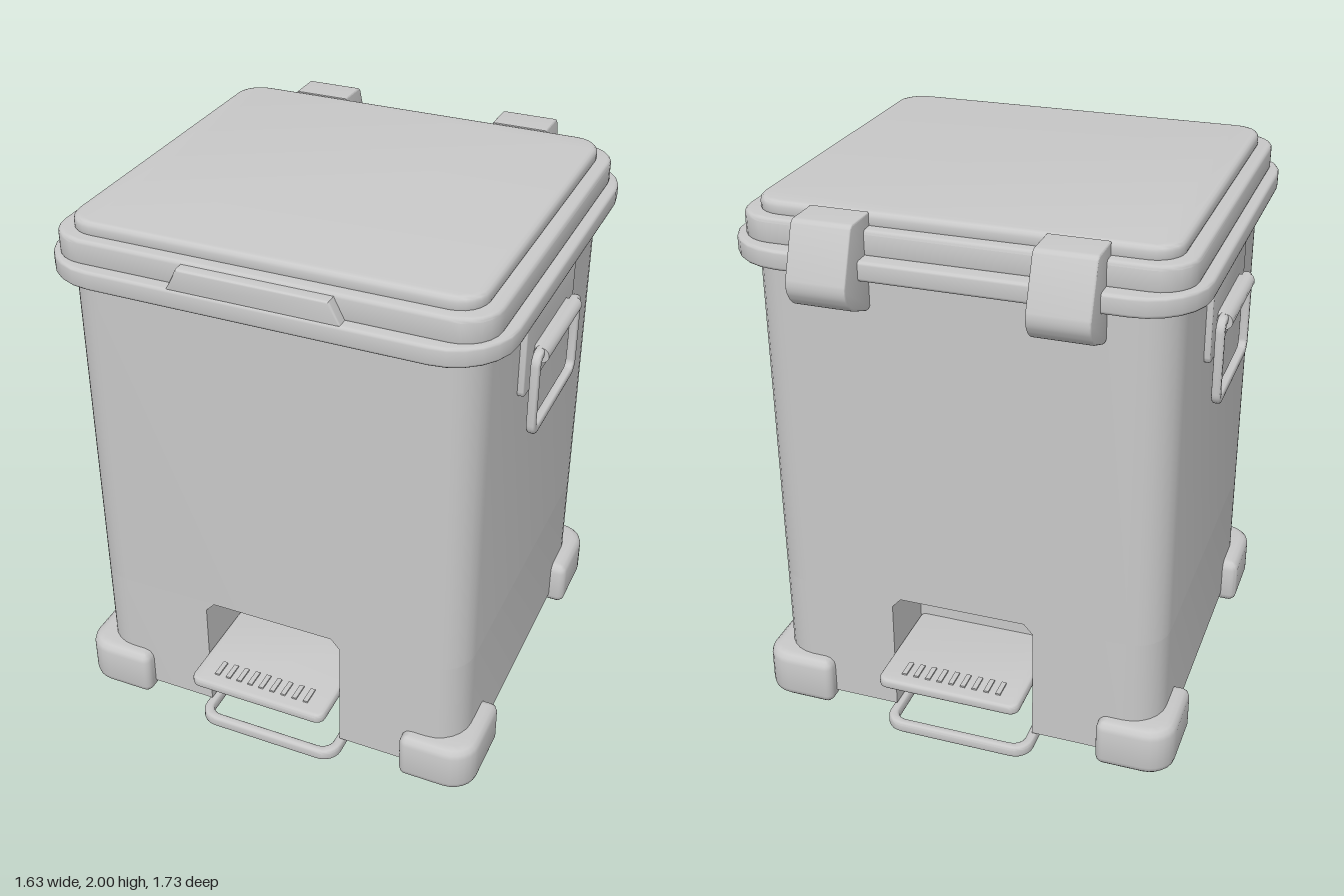
import * as THREE from 'three';
import { toCreasedNormals } from 'three/addons/utils/BufferGeometryUtils.js';

const grey = new THREE.MeshStandardMaterial({ color: 0xc8c8c8 });
grey.name = 'light grey';

// Closed polygon from [x, y, cornerRadius] points
function poly(pts, Type = THREE.Shape) {
  const shape = new Type();
  const n = pts.length;
  pts.forEach(([x, y, r = 0], i) => {
    const toward = ([px, py]) => {
      const d = Math.hypot(px - x, py - y);
      return [x + (px - x) * r / d, y + (py - y) * r / d];
    };
    const a = toward(pts[(i + n - 1) % n]);
    const b = toward(pts[(i + 1) % n]);
    if (i === 0) shape.moveTo(...a); else shape.lineTo(...a);
    if (r > 0) {
      // bezier handles that approximate a circular corner
      const k = 0.55, mix = (p) => [p[0] + (x - p[0]) * k, p[1] + (y - p[1]) * k];
      shape.bezierCurveTo(...mix(a), ...mix(b), ...b);
    }
  });
  shape.closePath();
  return shape;
}

const rect = (x0, y0, x1, y1, r) => [[x0, y0, r], [x1, y0, r], [x1, y1, r], [x0, y1, r]];

// Frame outline: rounded rectangle with a rounded hole
function frame(x0, y0, x1, y1, r, t) {
  const s = poly(rect(x0, y0, x1, y1, r));
  s.holes.push(poly(rect(x0 + t, y0 + t, x1 - t, y1 - t, r - t * 0.7), THREE.Path));
  return s;
}

// Extrusion of exact total depth, starting at 0, keeping the given outline
function extrude(shape, depth, bevel) {
  return new THREE.ExtrudeGeometry(shape, {
    depth: depth - 2 * bevel, curveSegments: 6, bevelEnabled: bevel > 0,
    bevelThickness: bevel, bevelSize: bevel, bevelOffset: -bevel, bevelSegments: 3,
  }).translate(0, 0, bevel);
}

export function createModel() {
  const group = new THREE.Group();
  const add = (name, geo) => {
    const m = new THREE.Mesh(toCreasedNormals(geo, 0.6), grey);
    m.name = name;
    group.add(m);
    return m;
  };
  // Plan outline (x, -z) raised from y0 to y1
  const slab = (name, shape, y0, y1, bevel = 0) =>
    add(name, extrude(shape, y1 - y0, bevel).rotateX(-Math.PI / 2).translate(0, y0, 0));
  // Side outline (z, y) swept from x0 to x1
  const sweep = (name, shape, x0, x1, bevel = 0) =>
    add(name, extrude(shape, x1 - x0, bevel).rotateY(-Math.PI / 2).translate(x1, 0, 0));
  // Plan rectangle given by half width, back z and front z
  const plan = (hx, zb, zf, r) => poly(rect(-hx, -zf, hx, -zb, r));

  // Body: full upper part, lower part notched for the pedals
  slab('upperBody', plan(0.74, -0.68, 0.71, 0.13), 0.53, 1.82);
  slab('lowerBody', poly([
    [-0.74, -0.71, 0.13], [-0.27, -0.71], [-0.27, -0.45], [0.27, -0.45], [0.27, -0.71],
    [0.74, -0.71, 0.13], [0.74, 0.68, 0.13], [0.27, 0.68], [0.27, 0.42],
    [-0.27, 0.42], [-0.27, 0.68], [-0.74, 0.68, 0.13],
  ]), 0.05, 0.53);

  // Rim and stepped lid
  slab('rim', plan(0.815, -0.76, 0.785, 0.22), 1.8, 1.87, 0.012);
  slab('lidBase', plan(0.775, -0.7, 0.74, 0.13), 1.86, 1.955, 0.015);
  slab('lidTop', plan(0.725, -0.655, 0.695, 0.1), 1.94, 2, 0.02);
  add('lidGrip', extrude(poly([[-0.3, 1.865], [0.31, 1.865], [0.27, 1.945], [-0.26, 1.945]]),
    0.09, 0.008).translate(0, 0, 0.69));

  // Hinges at the back
  for (const x of [-0.405, 0.403]) {
    sweep('hinge', poly([
      [-0.65, 2], [-0.79, 2, 0.02], [-0.868, 1.79, 0.03], [-0.83, 1.725, 0.03], [-0.69, 1.67, 0.02], [-0.65, 1.7],
    ]), x - 0.105, x + 0.105, 0.006);
  }

  // Pedals, opening details and floor loops, front and back
  for (const [s, face, inner, tip, loopIn, loopOut] of [
    [1, 0.71, 0.45, 0.865, 0.35, 0.8], [-1, -0.68, -0.42, -0.85, -0.31, -0.78]]) {
    const end = s > 0 ? 'front' : 'back';
    const zs = [inner - s * 0.02, tip].sort((a, b) => a - b);
    slab(end + 'Pedal', plan(0.268, zs[0], zs[1], 0.035), 0.252, 0.292, 0.012);
    for (let i = -4; i <= 4; i++) {
      add(end + 'PedalRib', new THREE.BoxGeometry(0.018, 0.052, 0.07)
        .translate(i * 0.045, 0.272, tip - s * 0.085));
    }
    // sloping ceiling and cut upper corners of the opening
    sweep(end + 'OpeningCeiling', poly([[face, 0.532], [inner, 0.532], [inner, 0.495]]), -0.27, 0.27);
    for (const k of [-1, 1]) {
      add(end + 'OpeningCorner', extrude(poly([[k * 0.272, 0.532], [k * 0.272, 0.49], [k * 0.235, 0.532]]),
        Math.abs(face - inner), 0).translate(0, 0, Math.min(face, inner)));
    }
    const lz = [-loopIn, -loopOut].sort((a, b) => a - b);
    slab(end + 'FloorLoop', frame(-0.285, lz[0], 0.285, lz[1], 0.07, 0.035), 0, 0.045, 0.012);
    add(end + 'LoopBracket', new THREE.BoxGeometry(0.36, 0.04, 0.05).translate(0, 0.04, loopIn + s * 0.015));
  }

  // Corner feet: rounded outside, cut diagonally inside
  for (const sx of [-1, 1]) {
    for (const [sz, zOut, zIn] of [[1, 0.76, 0.435], [-1, -0.73, -0.41]]) {
      slab('foot', poly([
        [sx * 0.8, -zOut, 0.1], [sx * 0.8, -zIn, 0.03], [sx * 0.68, -zIn, 0.03],
        [sx * 0.52, -(zOut - sz * 0.14), 0.03], [sx * 0.52, -zOut, 0.03],
      ]), 0.01, 0.2, 0.035);
      add('footScrew', new THREE.CylinderGeometry(0.025, 0.025, 0.012, 12)
        .translate(sx * 0.685, 0.008, zOut - sz * 0.125));
    }
  }

  // Side plates with hanging carry handles
  for (const s of [-1, 1]) {
    const side = (name, shape, a, b, bevel) => sweep(name, shape, Math.min(s * a, s * b), Math.max(s * a, s * b), bevel);
    side('handlePlate', poly(rect(-0.26, 1.44, 0.295, 1.75, 0.025)), 0.73, 0.762, 0.006);
    side('carryHandle', frame(-0.24, 1.27, 0.265, 1.6, 0.05, 0.034), 0.768, 0.8, 0.01);
    add('handleSleeve', new THREE.CylinderGeometry(0.029, 0.029, 0.39, 14)
      .rotateX(Math.PI / 2).translate(s * 0.788, 1.572, 0.015));
    side('handleClip', poly(rect(-0.17, 1.55, 0.2, 1.6, 0.01)), 0.75, 0.785, 0.005);
  }

  return group;
}
